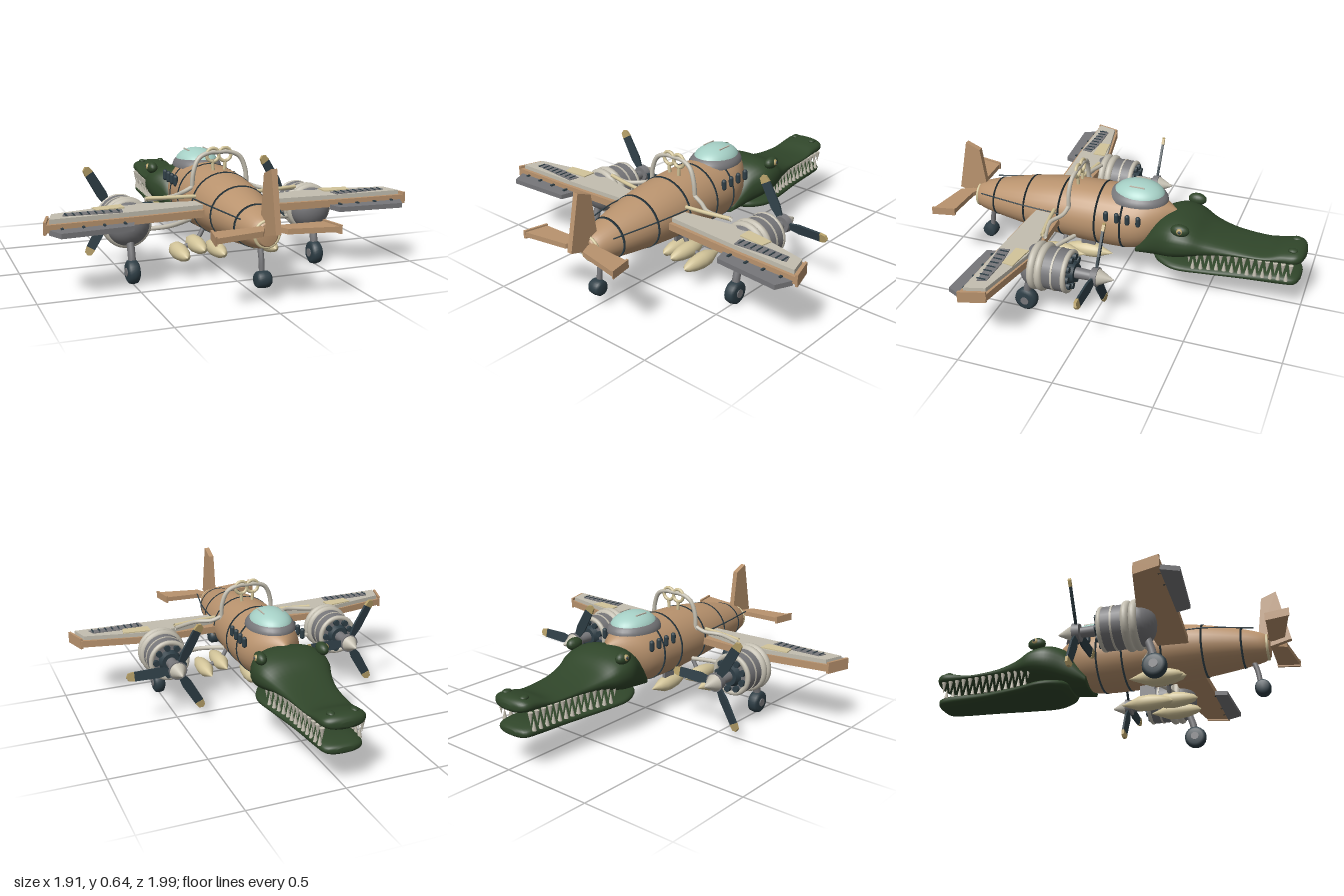
import * as THREE from 'three';

const mat = (name, color) => {
  const m = new THREE.MeshStandardMaterial({ color, side: THREE.DoubleSide });
  m.name = name;
  return m;
};
const M = {
  tan: mat('tan skin', 0xb9936e), green: mat('reptile green', 0x30462a), pale: mat('pale panel', 0xc3beb0),
  cream: mat('cream', 0xd3c59a), dark: mat('dark steel', 0x2e3e46), grey: mat('grey metal', 0x77777a),
  glass: mat('glass', 0xa6d0c6), gold: mat('brass', 0xb59f68),
};

// Catmull-Rom resampling of cross-sections [z, halfWidth, yBottom, yTop]
function refine(secs, k = 5) {
  const out = [];
  const at = i => secs[Math.min(Math.max(i, 0), secs.length - 1)];
  for (let i = 0; i < secs.length - 1; i++)
    for (let s = 0; s < k; s++) {
      const t = s / k;
      out.push(at(i).map((v, c) => {
        const a = at(i - 1)[c], d = at(i + 2)[c], b = at(i + 1)[c];
        return 0.5 * (2 * v + (b - a) * t + (2 * a - 5 * v + 4 * b - d) * t * t + (3 * v - a - 3 * b + d) * t ** 3);
      }));
    }
  out.push(at(secs.length - 1));
  return out;
}

// Closed skin over superellipse cross-sections, ordered by rising z
function loft(secs, power = 2, n = 32) {
  const pos = [], idx = [];
  const sp = v => Math.sign(v) * Math.abs(v) ** (2 / power);
  for (const [z, w, y0, y1] of secs)
    for (let j = 0; j < n; j++) {
      const a = j / n * Math.PI * 2;
      pos.push(w * sp(Math.cos(a)), (y0 + y1) / 2 + (y1 - y0) / 2 * sp(Math.sin(a)), z);
    }
  const last = secs.length - 1;
  for (const s of [secs[0], secs[last]]) pos.push(0, (s[2] + s[3]) / 2, s[0]);
  const c = secs.length * n;
  for (let j = 0; j < n; j++) {
    const k = (j + 1) % n;
    for (let i = 0; i < last; i++) {
      const a = i * n + j, b = i * n + k;
      idx.push(a, b, a + n, b, b + n, a + n);
    }
    idx.push(c, k, j, c + 1, last * n + j, last * n + k);
  }
  const g = new THREE.BufferGeometry();
  g.setAttribute('position', new THREE.Float32BufferAttribute(pos, 3));
  g.setIndex(idx);
  g.computeVertexNormals();
  return g;
}

// Flat plate from an outline; a is the first shape axis, b the second
function slab(pts, depth) {
  return new THREE.ExtrudeGeometry(new THREE.Shape(pts.map(p => new THREE.Vector2(...p))), { depth, bevelEnabled: false });
}
const plate = (pts, y0, y1, s = 1) =>
  slab(pts.map(([x, z]) => [x * s, -z]), y1 - y0).rotateX(-Math.PI / 2).translate(0, y0, 0);
const tube = (pts, r, seg = 32) =>
  new THREE.TubeGeometry(new THREE.CatmullRomCurve3(pts.map(p => new THREE.Vector3(...p))), seg, r, 10);
// Cylinder along z; r0 is the radius at z0
const zCyl = (r0, r1, z0, z1, n = 28) =>
  new THREE.CylinderGeometry(r1, r0, z1 - z0, n).rotateX(Math.PI / 2).translate(0, 0, (z0 + z1) / 2);

export function createModel() {
  const root = new THREE.Group();
  root.name = 'reptileAircraft';
  const add = (name, geo, m, p = [0, 0, 0], parent = root) => {
    const o = new THREE.Mesh(geo, m);
    o.name = name;
    o.position.set(...p);
    parent.add(o);
    return o;
  };

  // Fuselage and its hoops
  const body = refine([[-0.31, 0.008, 0.42, 0.45], [-0.22, 0.1, 0.27, 0.5], [-0.1, 0.162, 0.2, 0.525], [0.1, 0.175, 0.19, 0.53],
    [0.3, 0.172, 0.2, 0.522], [0.5, 0.155, 0.215, 0.495], [0.7, 0.115, 0.238, 0.45], [0.82, 0.078, 0.258, 0.412], [0.86, 0.045, 0.28, 0.385]]);
  add('fuselage', loft(body), M.tan);
  const sectionAt = (z, grow) => {
    const i = Math.max(1, body.findIndex(s => s[0] >= z)), a = body[i - 1], b = body[i];
    const [, w, y0, y1] = a.map((v, c) => v + (b[c] - v) * (z - a[0]) / (b[0] - a[0]));
    return [z, w + grow, y0 - grow, y1 + grow];
  };
  for (const z of [-0.04, 0.1, 0.31, 0.52, 0.72])
    add('fuselageHoop', loft([sectionAt(z - 0.005, 0.003), sectionAt(z + 0.005, 0.003)]), M.dark);

  // Canopy
  add('canopyFrame', new THREE.SphereGeometry(1, 32, 12, 0, Math.PI * 2, 0, Math.PI / 2).scale(0.128, 0.075, 0.165), M.grey, [0, 0.49, -0.09]);
  add('canopyGlass', new THREE.SphereGeometry(1, 32, 16, 0, Math.PI * 2, 0, Math.PI / 2).scale(0.112, 0.078, 0.142), M.glass, [0, 0.508, -0.095]);
  for (const x of [-0.055, 0.055]) add('canopyHandle', new THREE.BoxGeometry(0.006, 0.006, 0.08), M.pale, [x, 0.577, -0.1]);

  // Head, snout and lower jaw
  add('head', loft(refine([[-1, 0.03, 0.32, 0.345], [-0.985, 0.085, 0.305, 0.365], [-0.95, 0.113, 0.298, 0.375], [-0.88, 0.115, 0.295, 0.365],
    [-0.78, 0.122, 0.3, 0.338], [-0.62, 0.135, 0.29, 0.352], [-0.5, 0.165, 0.275, 0.385], [-0.41, 0.198, 0.25, 0.435],
    [-0.32, 0.202, 0.225, 0.455], [-0.23, 0.165, 0.205, 0.425], [-0.16, 0.135, 0.195, 0.34], [-0.11, 0.11, 0.192, 0.26]]), 2.4), M.green);
  add('lowerJaw', loft(refine([[-0.985, 0.04, 0.185, 0.21], [-0.96, 0.095, 0.17, 0.225], [-0.88, 0.112, 0.165, 0.235], [-0.7, 0.125, 0.165, 0.222],
    [-0.5, 0.155, 0.167, 0.222], [-0.35, 0.18, 0.172, 0.235], [-0.25, 0.14, 0.18, 0.24], [-0.21, 0.09, 0.195, 0.23]]), 2.5), M.green);
  const edge = z => z < -0.6 ? 0.102 + (z + 0.95) * 0.05 : 0.12 + (z + 0.6) * 0.2;
  for (const s of [-1, 1]) {
    for (let i = 0; i < 14; i++) {
      const z = -0.94 + i * 0.04, x = s * edge(z);
      add('upperTooth', new THREE.ConeGeometry(0.013, 0.065, 8).rotateX(Math.PI), M.pale, [x, 0.275, z]);
      if (i < 13) add('lowerTooth', new THREE.ConeGeometry(0.012, 0.06, 8), M.pale, [x, 0.24, z + 0.02]);
    }
    add('browRidge', new THREE.SphereGeometry(1, 16, 12).scale(0.03, 0.033, 0.05), M.green, [s * 0.17, 0.437, -0.37]);
    add('eye', new THREE.SphereGeometry(0.019, 16, 12), M.gold, [s * 0.187, 0.442, -0.373]);
    add('pupil', new THREE.SphereGeometry(0.009, 10, 8), M.dark, [s * 0.2, 0.444, -0.375]);
    add('nostril', new THREE.SphereGeometry(1, 12, 8).scale(0.02, 0.012, 0.026), M.green, [s * 0.06, 0.37, -0.935]);
  }

  // Tail fin
  add('tailFin', slab([[-0.8, 0.38], [-0.83, 0.615], [-0.91, 0.648], [-0.97, 0.36], [-0.86, 0.33]], 0.028)
    .rotateY(Math.PI / 2).translate(-0.014, 0, 0), M.tan);
  add('tailCollar', new THREE.TorusGeometry(0.062, 0.008, 8, 28), M.cream, [0, 0.333, 0.845]);

  // Tail wheel
  add('tailStrut', tube([[0, 0.28, 0.76], [0, 0.2, 0.785], [0, 0.11, 0.795]], 0.014), M.grey);
  const tyre = (r, w) => new THREE.LatheGeometry([[0, -w], [r * 0.7, -w], [r * 0.93, -w * 0.7], [r, 0], [r * 0.93, w * 0.7], [r * 0.7, w], [0, w]]
    .map(p => new THREE.Vector2(...p)), 28).rotateZ(Math.PI / 2);
  add('tailWheel', tyre(0.042, 0.037), M.dark, [0, 0.106, 0.805]);

  // Bombs
  const bombShape = [[0, 0], [0.024, 0.06], [0.04, 0.1], [0.043, 0.15], [0.036, 0.21], [0.02, 0.26], [0, 0.28]];
  const bomb = new THREE.LatheGeometry(bombShape.map(p => new THREE.Vector2(...p)), 20).rotateX(Math.PI / 2);
  add('bomb', bomb, M.cream, [0, 0.095, 0.055]);
  add('bombRack', new THREE.BoxGeometry(0.02, 0.1, 0.08), M.grey, [0, 0.17, 0.2]);

  for (const s of [-1, 1]) {
    // Wing, its panels and flap
    add('wing', plate([[0.12, 0.3], [0.5, 0.285], [0.6, 0.295], [0.915, 0.358], [0.957, 0.49], [0.6, 0.48], [0.12, 0.455]], 0.335, 0.372, s), M.tan);
    add('wingPanel', plate([[0.16, 0.345], [0.42, 0.3], [0.58, 0.3], [0.895, 0.368], [0.925, 0.472], [0.6, 0.462], [0.16, 0.435]], 0.372, 0.394, s), M.pale);
    add('wingPatch', plate([[0.54, 0.305], [0.69, 0.325], [0.68, 0.385], [0.54, 0.375]], 0.394, 0.4, s), M.cream);
    add('wingGrille', plate([[0.56, 0.4], [0.69, 0.385], [0.84, 0.39], [0.855, 0.435], [0.57, 0.455]], 0.394, 0.398, s), M.grey);
    for (let i = 0; i < 8; i++)
      add('grilleSlat', new THREE.BoxGeometry(0.007, 0.004, 0.045), M.dark, [s * (0.585 + i * 0.036), 0.399, 0.421]);
    add('wingTip', plate([[0.905, 0.36], [0.918, 0.36], [0.957, 0.49], [0.943, 0.49]], 0.325, 0.385, s), M.tan);
    add('flap', plate([[0.52, 0.475], [0.93, 0.485], [0.89, 0.57], [0.54, 0.545]], 0.323, 0.348, s), M.grey);
    for (let i = 0; i < 4; i++)
      add('flapHinge', new THREE.BoxGeometry(0.012, 0.02, 0.04), M.dark, [s * (0.57 + i * 0.1), 0.345, 0.485]);

    // Tailplane
    add('tailplane', plate([[0.03, 0.84], [0.08, 0.86], [0.28, 0.868], [0.305, 0.985], [0.06, 0.94], [0.03, 0.88]], 0.35, 0.376, s), M.tan);
    add('tailplaneRim', plate([[0.272, 0.865], [0.284, 0.865], [0.309, 0.988], [0.297, 0.985]], 0.342, 0.384, s), M.tan);

    // Engine
    const e = new THREE.Group();
    e.name = 'engine';
    e.position.set(s * 0.5, 0.293, 0);
    root.add(e);
    add('cowling', zCyl(0.11, 0.11, 0.1, 0.24), M.grey, [0, 0, 0], e);
    add('cowlingLip', new THREE.TorusGeometry(0.1, 0.014, 10, 32), M.pale, [0, 0, 0.105], e);
    add('cowlingBand', zCyl(0.113, 0.113, 0.16, 0.17), M.pale, [0, 0, 0], e);
    add('crankcase', zCyl(0.05, 0.07, 0.07, 0.12), M.dark, [0, 0, 0], e);
    for (const z of [0.235, 0.275]) add('exhaustRing', new THREE.TorusGeometry(0.106, 0.021, 12, 36), M.pale, [0, 0, z], e);
    add('nacelle', new THREE.SphereGeometry(0.112, 28, 16).scale(1, 1, 0.8), M.grey, [0, 0, 0.28], e);
    for (let i = 0; i < 9; i++) {
      const a = i / 9 * Math.PI * 2;
      add('cylinderHead', zCyl(0.017, 0.017, 0.08, 0.11, 10), M.dark, [0.078 * Math.cos(a), 0.078 * Math.sin(a), 0], e);
    }
    add('shaft', zCyl(0.026, 0.03, -0.01, 0.09), M.grey, [0, 0, 0], e);
    add('hub', zCyl(0.05, 0.045, -0.05, -0.015), M.grey, [0, 0, 0], e);
    add('spinner', zCyl(0.004, 0.044, -0.128, -0.05), M.pale, [0, 0, 0], e);
    for (let i = 0; i < 3; i++) {
      const blade = new THREE.Group();
      blade.name = 'propellerBlade';
      blade.position.z = -0.033;
      blade.rotation.z = i * Math.PI * 2 / 3;
      e.add(blade);
      add('bladeBody', slab([[0.03, -0.014], [0.1, -0.027], [0.23, -0.024], [0.23, 0.024], [0.1, 0.027], [0.03, 0.014]], 0.012)
        .translate(0, 0, -0.006).rotateX(0.2), M.dark, [0, 0, 0], blade);
      add('bladeTip', slab([[0.23, -0.025], [0.262, -0.018], [0.272, 0], [0.262, 0.02], [0.23, 0.025]], 0.015)
        .translate(0, 0, -0.0075).rotateX(0.2), M.gold, [0, 0, 0], blade);
    }

    // Main landing gear
    add('gearStrut', tube([[s * 0.5, 0.22, 0.32], [s * 0.5, 0.14, 0.345], [s * 0.5, 0.075, 0.355]], 0.02), M.grey);
    add('mainWheel', tyre(0.062, 0.03), M.dark, [s * 0.5, 0.066, 0.355]);
    add('wheelHub', new THREE.CylinderGeometry(0.022, 0.022, 0.068, 16).rotateZ(Math.PI / 2), M.grey, [s * 0.5, 0.066, 0.355]);

    // Exhaust stubs and side cables
    for (let i = 0; i < 4; i++)
      add('exhaustStub', new THREE.CapsuleGeometry(0.013, 0.035, 4, 10), M.dark, [s * 0.165, 0.437, -0.142 + i * 0.059]);
    add('sideCable', tube([[s * 0.168, 0.4, 0.3], [s * 0.164, 0.41, 0.52], [s * 0.11, 0.4, 0.79]], 0.0035), M.dark);

    // Bombs under the wing root
    add('bomb', bomb, M.cream, [s * 0.15, 0.16, 0.16]);
    add('bomb', bomb, M.cream, [s * 0.24, 0.13, 0.16]);
    add('bombRack', tube([[s * 0.1, 0.24, 0.29], [s * 0.15, 0.17, 0.29], [s * 0.24, 0.14, 0.29]], 0.012), M.grey);

    // Pipework over the fuselage and along the wing
    add('archPipe', tube([[s * 0.15, 0.41, 0.25], [s * 0.142, 0.52, 0.25], [s * 0.11, 0.59, 0.245], [s * 0.05, 0.615, 0.24], [0, 0.615, 0.24]], 0.012), M.pale);
    add('loopPipe', new THREE.TorusGeometry(0.034, 0.009, 8, 24), M.cream, [s * 0.033, 0.602, 0.24]);
    add('loopStem', tube([[s * 0.03, 0.51, 0.24], [s * 0.035, 0.575, 0.24]], 0.009, 4), M.cream);
    add('wingPipe', tube([[s * 0.14, 0.45, 0.25], [s * 0.2, 0.425, 0.26], [s * 0.28, 0.415, 0.3], [s * 0.41, 0.405, 0.275]], 0.011), M.pale);
    add('wingRod', tube([[s * 0.16, 0.415, 0.33], [s * 0.28, 0.415, 0.315], [s * 0.41, 0.415, 0.29]], 0.01), M.cream);
    add('bellyPipe', tube([[s * 0.4, 0.25, 0.26], [s * 0.28, 0.26, 0.28], [s * 0.15, 0.27, 0.22]], 0.012), M.pale);
  }
  return root;
}
